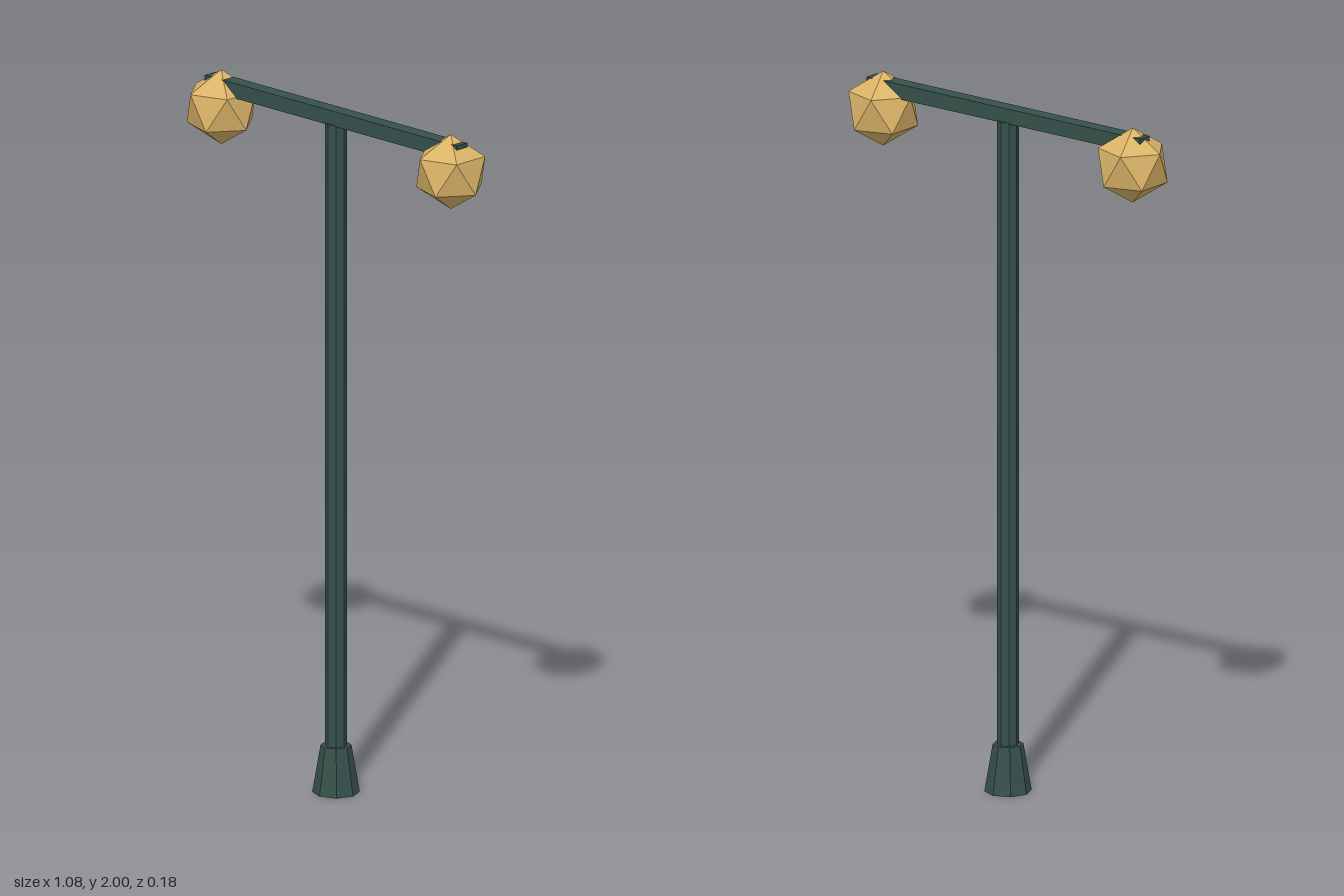
import * as THREE from 'three';

export function createModel() {
  const model = new THREE.Group();
  model.name = 'streetLamp';

  const metal = new THREE.MeshStandardMaterial({ color: 0x36504b });
  metal.name = 'darkGreenMetal';
  const glow = new THREE.MeshStandardMaterial({ color: 0xdab367 });
  glow.name = 'warmGold';

  const add = (name, geometry, material, x, y, z) => {
    // unshared vertices give crisp facets
    const flat = geometry.index ? geometry.toNonIndexed() : geometry;
    flat.computeVertexNormals();
    const mesh = new THREE.Mesh(flat, material);
    mesh.name = name;
    mesh.position.set(x, y, z);
    model.add(mesh);
    return mesh;
  };

  // tapered octagonal foot
  add('base', new THREE.CylinderGeometry(0.043, 0.066, 0.136, 8), metal, 0, 0.068, 0);

  // octagonal post, from the foot up to the crossbar
  add('pole', new THREE.CylinderGeometry(0.031, 0.031, 1.9, 8), metal, 0, 0.99, 0);

  // square crossbar running into both globes
  add('crossbar', new THREE.BoxGeometry(0.974, 0.043, 0.043), metal, 0, 1.958, 0);

  // twenty-sided globes standing on a corner, both turned the same way
  const radius = 0.108;
  for (const [name, x] of [['leftGlobe', 0.444], ['rightGlobe', -0.444]]) {
    const globe = new THREE.IcosahedronGeometry(radius, 0);
    // tip one corner to the top; a corner of the upper ring then points to +x
    globe.rotateZ(Math.atan(2 / (1 + Math.sqrt(5))));
    add(name, globe, glow, x, 2 - radius, 0);
  }

  return model;
}
